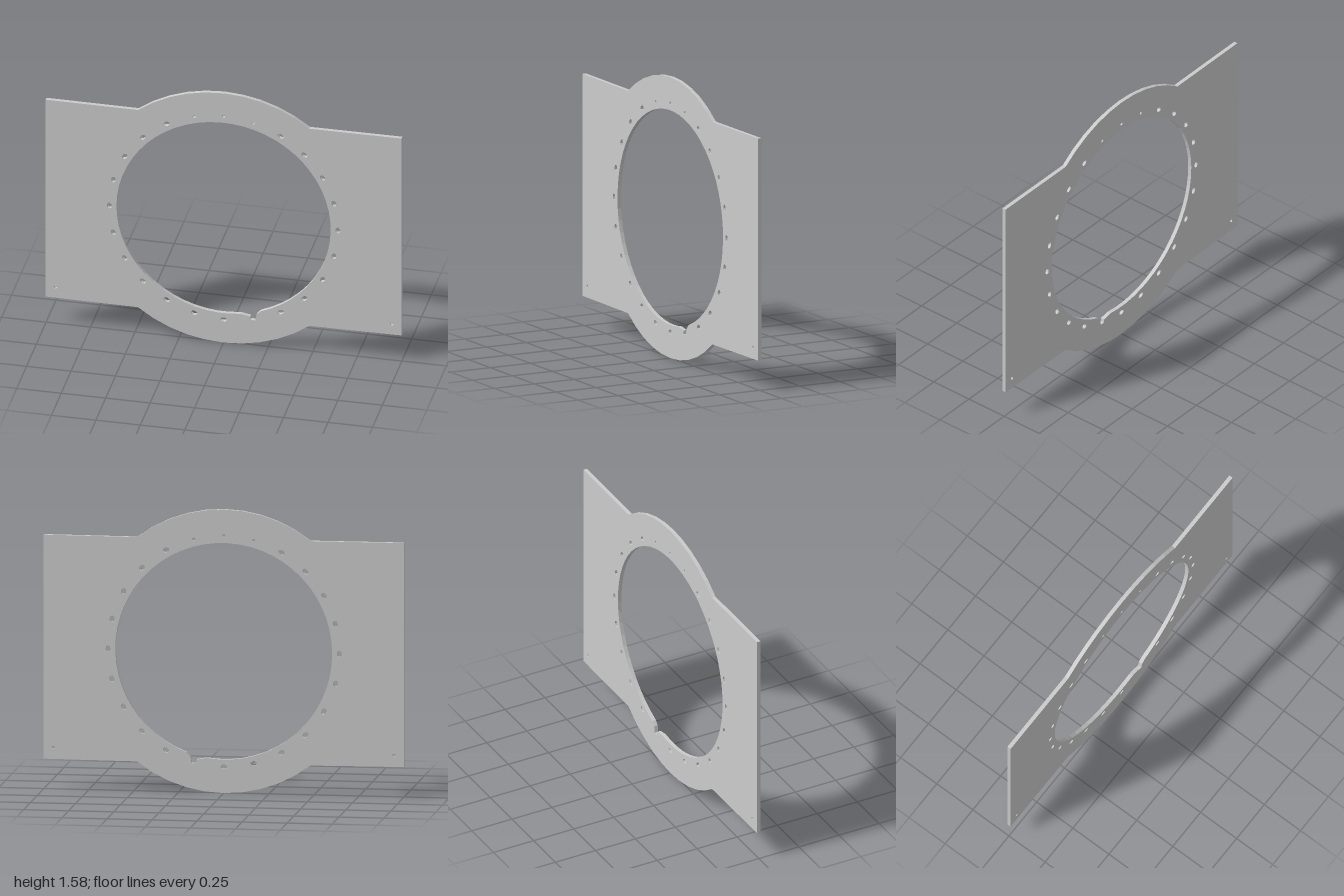
import * as THREE from 'three';

const CY = 0.79;          // centre height of the ring
const THICK = 0.022;
const rad = THREE.MathUtils.degToRad;

// points on an arc around the ring centre, angles in degrees
function arc(r, from, to, steps) {
  return Array.from({ length: steps + 1 }, (_, i) => {
    const a = rad(from + (to - from) * i / steps);
    return new THREE.Vector2(r * Math.cos(a), CY + r * Math.sin(a));
  });
}

// small hole; rx and ry are half sizes, turned by an angle
function hole(x, y, rx, ry, turn = 0) {
  const path = new THREE.Path();
  path.absellipse(x, y, rx, ry, 0, Math.PI * 2, false, turn);
  return new THREE.Path(path.getPoints(4));
}

export function createModel() {
  const group = new THREE.Group();
  const v = (x, y) => new THREE.Vector2(x, y);

  // rectangular plate with round bulges at top and bottom
  const edge = 52.3;
  const outline = new THREE.Shape([
    v(1, 0.17), v(1, 1.415),
    ...arc(0.788, edge, 180 - edge, 10),
    v(-1, 1.415), v(-1, 0.17),
    ...arc(0.788, 180 + edge, 360 - edge, 10),
  ]);

  // large opening, with a notch where one bolt hole breaks through
  outline.holes.push(new THREE.Path([
    ...arc(0.602, -70, 279, 56),
    v(0.15, 0.185), v(0.152, 0.165), v(0.178, 0.163), v(0.185, 0.2),
  ]));

  // ring of bolt holes every 15 degrees, the top three smaller
  for (let i = 0; i < 24; i++) {
    if (i === 19) continue; // the notch
    const a = rad(i * 15);
    const small = i >= 5 && i <= 7;
    outline.holes.push(hole(
      0.642 * Math.cos(a), CY + 0.642 * Math.sin(a),
      small ? 0.009 : 0.014, small ? 0.009 : 0.019, a));
  }

  // lower corner holes
  for (const s of [-1, 1]) outline.holes.push(hole(s * 0.945, 0.235, 0.009, 0.009));

  const geometry = new THREE.ExtrudeGeometry(outline, { depth: THICK, bevelEnabled: false });
  geometry.translate(0, 0, -THICK / 2);
  const plate = new THREE.Mesh(geometry, new THREE.MeshStandardMaterial({ color: 0xcccccc, flatShading: true }));
  plate.name = 'mountingPlate';
  group.add(plate);
  return group;
}
